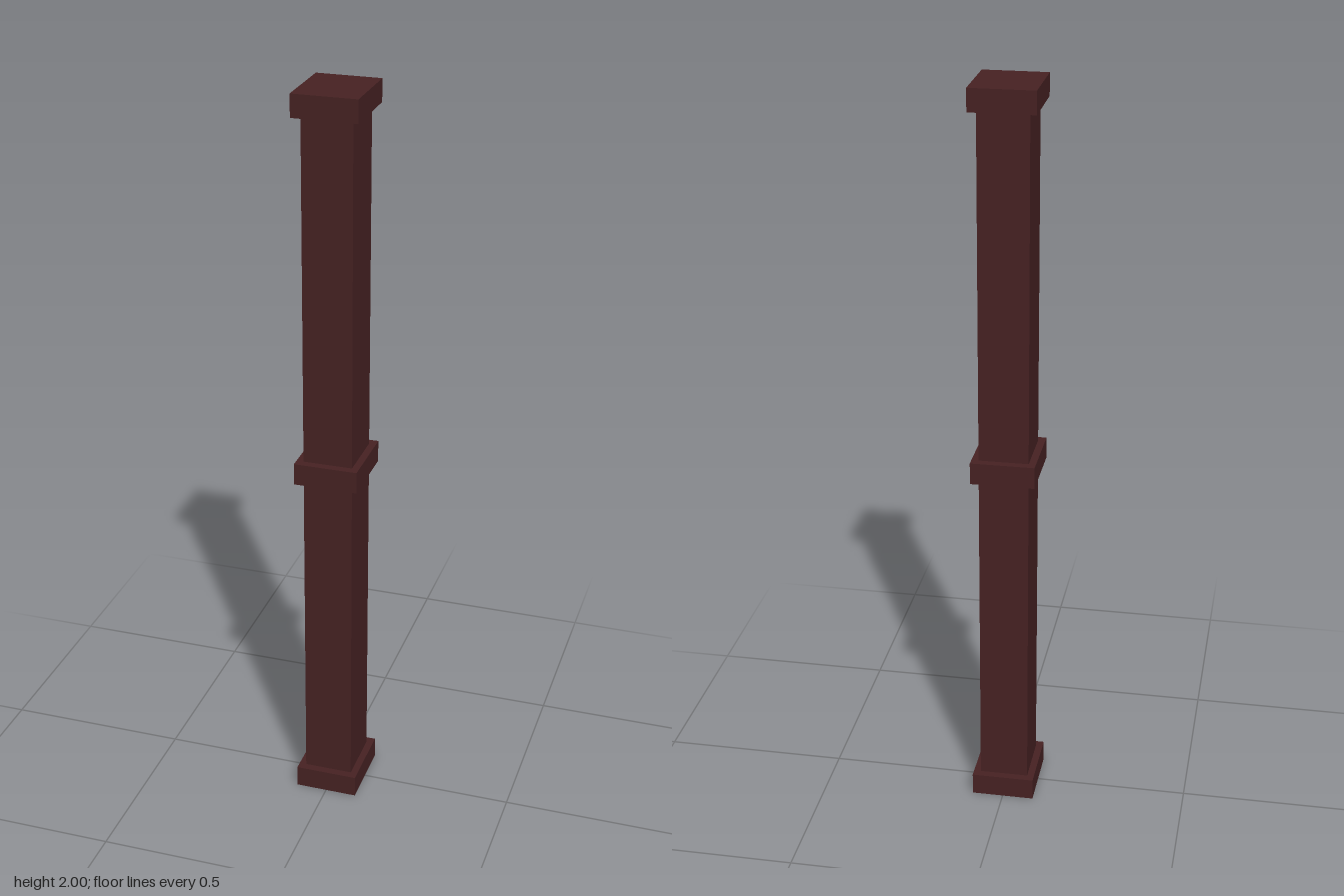
import * as THREE from 'three';

export function createModel() {
  const group = new THREE.Group();
  const darkWood = new THREE.MeshStandardMaterial({ color: 0x472223 });
  darkWood.name = 'darkWood';

  // Box spanning two heights, centred on the post's axis
  function block(name, width, depth, bottom, top) {
    const mesh = new THREE.Mesh(new THREE.BoxGeometry(width, top - bottom, depth), darkWood);
    mesh.name = name;
    mesh.position.y = (bottom + top) / 2;
    group.add(mesh);
  }

  // Collars at the foot, middle and head
  block('baseCollar', 0.17, 0.198, 0, 0.06);
  block('middleCollar', 0.17, 0.198, 0.962, 1.021);
  block('topCollar', 0.17, 0.198, 1.941, 2);

  // Shafts between the collars
  block('lowerShaft', 0.132, 0.154, 0.06, 0.962);
  block('upperShaft', 0.132, 0.154, 1.021, 1.941);

  return group;
}
